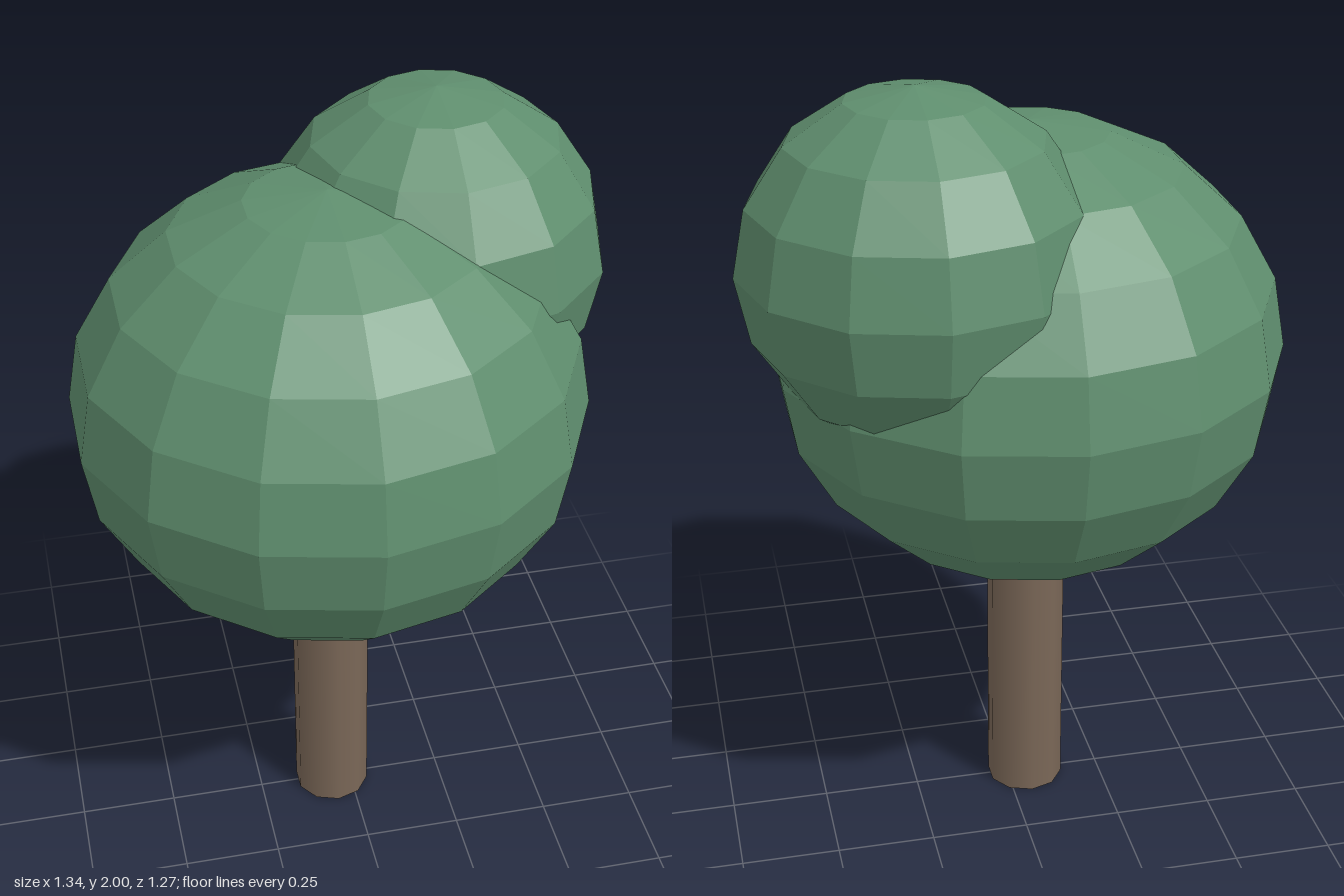
import * as THREE from 'three';

export function createModel() {
  const tree = new THREE.Group();
  tree.name = 'tree';

  const leafGreen = new THREE.MeshStandardMaterial({ color: 0x5f8e6e, flatShading: true });
  leafGreen.name = 'leaf green';
  const barkBrown = new THREE.MeshStandardMaterial({ color: 0x7a6757 });
  barkBrown.name = 'bark brown';

  // Faceted ball of leaves, with a corner of each ring facing the front
  function addFoliage(name, radius, height, sides, rings, x, y, z) {
    const geometry = new THREE.SphereGeometry(1, sides, rings);
    geometry.rotateY(Math.PI / 2);
    geometry.scale(radius, height, radius);
    const mesh = new THREE.Mesh(geometry, leafGreen);
    mesh.name = name;
    mesh.position.set(x, y, z);
    tree.add(mesh);
  }
  addFoliage('mainFoliage', 0.635, 0.572, 14, 10, -0.05, 1.28, 0);
  addFoliage('upperFoliage', 0.425, 0.422, 12, 8, 0.245, 1.578, -0.17);

  // Trunk, its top hidden inside the main foliage
  const trunk = new THREE.Mesh(new THREE.CylinderGeometry(0.1, 0.1, 0.9, 10), barkBrown);
  trunk.name = 'trunk';
  trunk.position.set(-0.05, 0.45, 0);
  tree.add(trunk);

  return tree;
}
